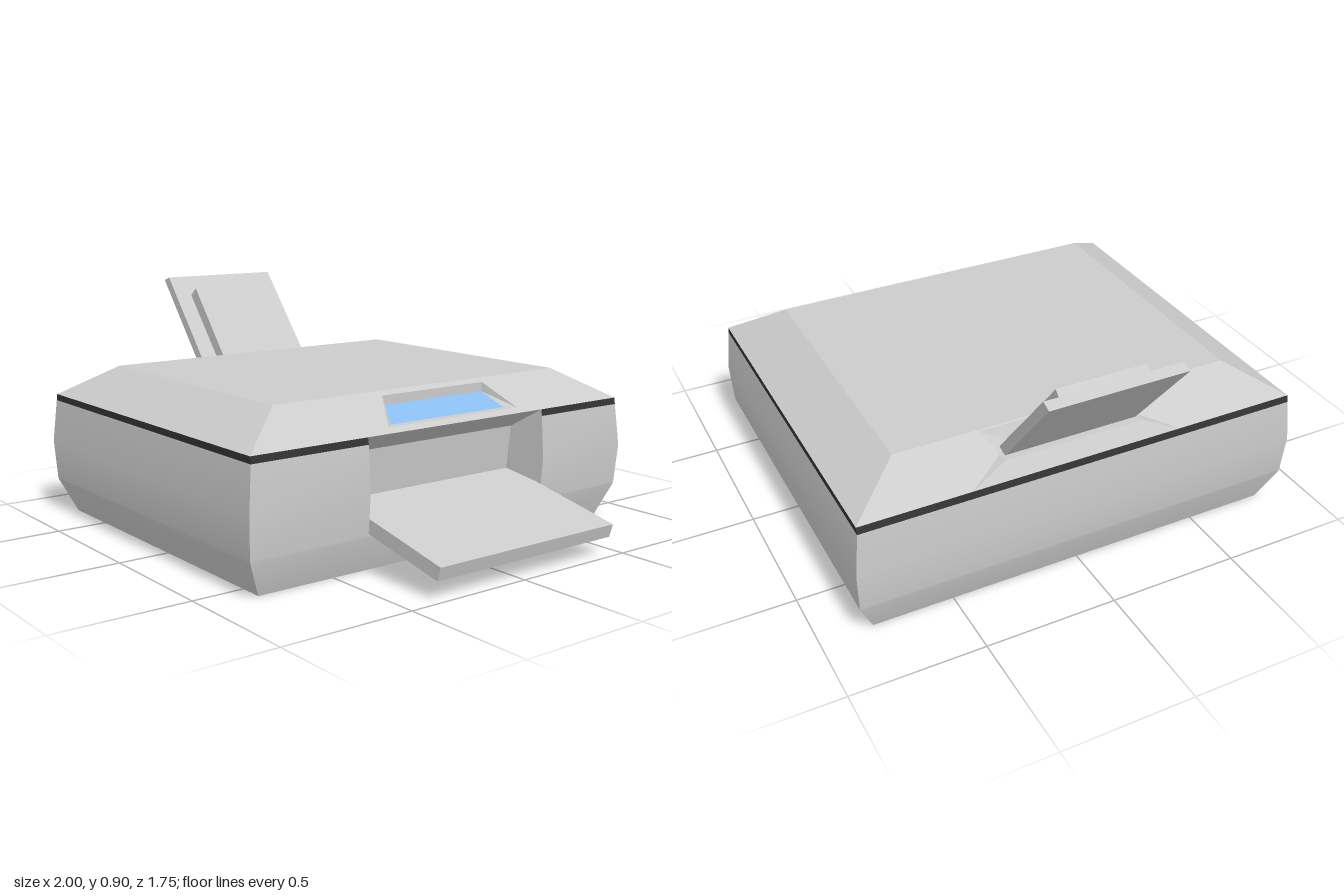
import * as THREE from 'three';
import { toCreasedNormals } from 'three/addons/utils/BufferGeometryUtils.js';

const grey = new THREE.MeshStandardMaterial({ color: 0xcccccc, side: THREE.DoubleSide });
const dark = new THREE.MeshStandardMaterial({ color: 0x333333, side: THREE.DoubleSide });
const blue = new THREE.MeshStandardMaterial({ color: 0x88bbee, side: THREE.DoubleSide });

const ZC = -0.03;                    // centre line of the paper path
const N1 = ZC + 0.415, N0 = ZC - 0.415; // output opening, front and rear edges

// Polygons (anticlockwise from outside) to a mesh, smooth below the crease angle
function faces(name, polys, material = grey, crease = 0.55) {
  const pos = [];
  for (const p of polys)
    for (let i = 1; i < p.length - 1; i++) pos.push(...p[0], ...p[i], ...p[i + 1]);
  const g = new THREE.BufferGeometry();
  g.setAttribute('position', new THREE.Float32BufferAttribute(pos, 3));
  const mesh = new THREE.Mesh(toCreasedNormals(g, crease), material);
  mesh.name = name;
  return mesh;
}

// Quads joining two closed loops of points
const loft = (a, b) => a.map((p, i) => {
  const j = (i + 1) % a.length;
  return [p, a[j], b[j], b[i]];
});

// Solid from an x-y outline, running from z0 to z1
function slab(name, outline, z0, z1) {
  const shape = new THREE.Shape(outline.map(([x, y]) => new THREE.Vector2(x, y)));
  const g = new THREE.ExtrudeGeometry(shape, { depth: z1 - z0, bevelEnabled: false });
  g.translate(0, 0, z0);
  const mesh = new THREE.Mesh(g, grey);
  mesh.name = name;
  return mesh;
}

// Wall between two levels [y, xMin, xMax, zHalf]; open leaves a gap in the +x side
function wall([ya, a0, a1, az], [yb, b0, b1, bz], open) {
  const loop = (y, x0, x1, z) => [[x0, y, z], [x1, y, z], [x1, y, -z], [x0, y, -z]];
  const quads = loft(loop(ya, a0, a1, az), loop(yb, b0, b1, bz));
  const strip = (p, q, r, s) => [[a1, ya, p], [a1, ya, q], [b1, yb, r], [b1, yb, s]];
  const parts = [strip(az, N1, N1, bz), strip(N0, -az, -bz, N0)];
  if (!open) parts.push(strip(N1, N0, N0, N1));
  return [quads[0], ...parts, quads[2], quads[3]];
}

export function createModel() {
  const model = new THREE.Group();
  model.name = 'printer';

  // Rounded body, open on the +x side above the tray
  const levels = [
    [0, -0.735, 0.59, 0.805], [0.13, -0.783, 0.635, 0.863], [0.14, -0.785, 0.636, 0.865],
    [0.29, -0.795, 0.648, 0.873], [0.455, -0.785, 0.636, 0.857], [0.48, -0.778, 0.632, 0.857],
  ];
  const body = [];
  for (let i = 0; i < 4; i++) body.push(...wall(levels[i], levels[i + 1], i > 1));
  body.push([[-0.735, 0, -0.805], [0.59, 0, -0.805], [0.59, 0, 0.805], [-0.735, 0, 0.805]]);
  model.add(faces('body', body));
  model.add(faces('seamBand', wall(levels[4], levels[5], true), dark));

  // Output opening: side walls, ceiling and back
  const section = [[0.48, 0.14], [0.636, 0.14], [0.648, 0.29], [0.636, 0.455], [0.632, 0.48], [0.5, 0.4], [0.48, 0.23]];
  const side = s => section.map(([x, y]) => [x, y, ZC + s * (x > 0.6 ? 0.415 : 0.39)]);
  const front = side(1), rear = side(-1);
  const opening = [front.slice().reverse(), rear];
  for (const i of [0, 4, 5, 6]) {
    const j = (i + 1) % 7;
    opening.push([front[i], rear[i], rear[j], front[j]]);
  }
  model.add(faces('outputOpening', opening, grey, 0.1));

  // Lid with sloping edges; both side slopes have a recess
  const low = [[-0.778, 0.48, 0.857], [0.632, 0.48, 0.857], [0.632, 0.48, -0.857], [-0.778, 0.48, -0.857]];
  const high = [[-0.615, 0.597, 0.66], [0.47, 0.597, 0.66], [0.47, 0.597, -0.66], [-0.615, 0.597, -0.66]];
  const slopes = loft(low, high);
  const loop = (xa, ya, wa, xb, yb, wb, s) => [
    [xa, ya, ZC + s * wa], [xa, ya, ZC - s * wa], [xb, yb, ZC - s * wb], [xb, yb, ZC + s * wb]];
  const screenHole = loop(0.61, 0.496, 0.308, 0.49, 0.583, 0.24, 1);
  const screenFloor = loop(0.577, 0.497, 0.27, 0.49, 0.548, 0.24, 1);
  const feedHole = loop(-0.697, 0.537, 0.27, -0.62, 0.593, 0.31, -1);
  const feedFloor = loop(-0.697, 0.536, 0.27, -0.647, 0.537, 0.205, -1);
  model.add(faces('lid', [
    high, slopes[0], slopes[2],
    ...loft(slopes[1], screenHole), ...loft(slopes[3], feedHole),
  ], grey, 0.1));
  model.add(faces('screenRecess', loft(screenHole, screenFloor), grey, 0.1));
  model.add(faces('screen', [screenFloor], blue));
  model.add(faces('feedRecess', [...loft(feedHole, feedFloor), feedFloor], grey, 0.1));

  // Raised lip around the paper feed
  const lip = loop(-0.778, 0.48, 0.41, -0.74, 0.537, 0.27, -1);
  const ledge = loop(-0.74, 0.537, 0.27, -0.697, 0.537, 0.27, -1);
  model.add(faces('feedLip', [
    lip, ledge, [lip[0], lip[3], ledge[3]], [lip[1], ledge[2], lip[2]],
  ], grey, 0.1));

  // Leaning paper support and its smaller guide, then the output tray
  model.add(slab('paperSupport', [[-1, 0.89], [-0.71, 0.533], [-0.67, 0.547], [-0.962, 0.904]], -0.288, 0.23));
  model.add(slab('paperGuide', [[-0.9, 0.826], [-0.67, 0.543], [-0.633, 0.577], [-0.86, 0.86]], -0.186, 0.157));
  model.add(slab('outputTray', [[0.48, 0.23], [0.48, 0.175], [0.985, 0.068], [1, 0.118]], N0 + 0.004, N1 - 0.004));
  return model;
}
